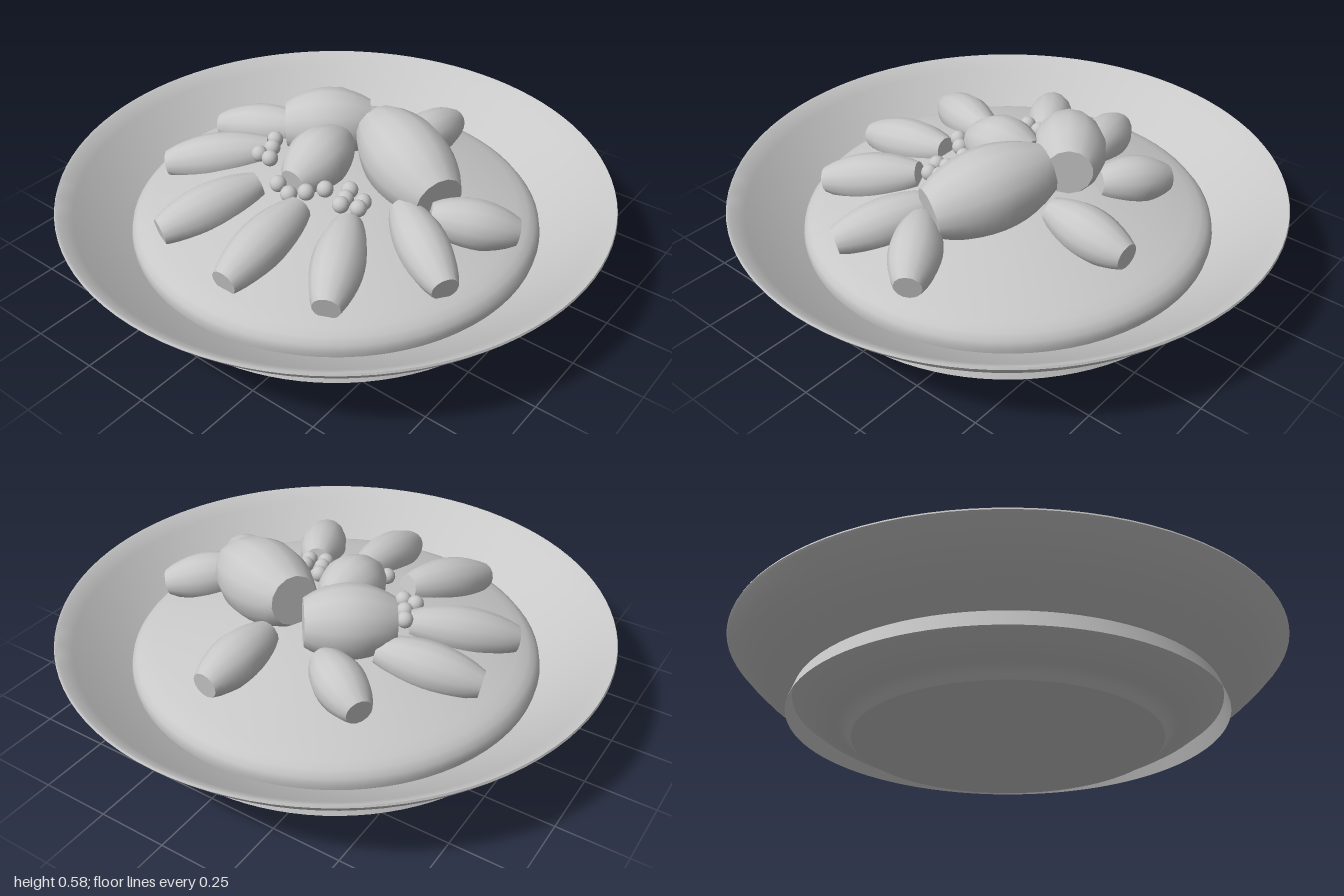
import * as THREE from 'three';
import { toCreasedNormals } from 'three/addons/utils/BufferGeometryUtils.js';

export function createModel() {
  const group = new THREE.Group();
  const grey = new THREE.MeshStandardMaterial({ color: 0xc8c8c8, side: THREE.DoubleSide });
  grey.name = 'light grey';

  function add(name, geometry) {
    const mesh = new THREE.Mesh(geometry, grey);
    mesh.name = name;
    group.add(mesh);
    return mesh;
  }

  // Surface of revolution from [radius, height] pairs, with sharp edges kept
  function lathe(profile, segments, crease = 0.6) {
    const points = profile.map(([r, y]) => new THREE.Vector2(r, y));
    return toCreasedNormals(new THREE.LatheGeometry(points, segments), crease);
  }

  // Flared dish: outside wall, rounded lip, inside wall
  add('dish', lathe([
    [0.755, 0.125], [0.83, 0.165], [0.9, 0.212], [0.95, 0.26], [0.993, 0.308], [1, 0.318],
    [0.997, 0.325], [0.988, 0.323], [0.94, 0.285], [0.87, 0.232], [0.79, 0.175], [0.735, 0.14],
  ], 96));

  // Underside, open skirt ring
  add('base', lathe([
    [0, 0], [0.55, 0], [0.562, 0.012], [0.578, 0.03], [0.6, 0.038],
    [0.65, 0.052], [0.7, 0.08], [0.76, 0.125],
  ], 96));
  add('skirtRing', lathe([[0.78, 0.07], [0.76, 0.127]], 96));

  // Domed filling with a rounded edge
  add('filling', lathe([
    [0.74, 0.13], [0.747, 0.165], [0.742, 0.19], [0.725, 0.212], [0.7, 0.228], [0.66, 0.243],
    [0.56, 0.275], [0.42, 0.313], [0.28, 0.342], [0.14, 0.358], [0, 0.363],
  ], 72));

  // Barrel-shaped piece with cut ends, running between two points
  function barrel(name, from, to, middle, end, sides = 14) {
    const a = new THREE.Vector3(...from), b = new THREE.Vector3(...to);
    const length = a.distanceTo(b);
    const profile = [[0, 0]];
    for (let i = 0; i <= 10; i++) {
      const t = i / 10;
      profile.push([end + (middle - end) * Math.pow(Math.sin(Math.PI * t), 0.85), t * length]);
    }
    profile.push([0, length]);
    const mesh = add(name, lathe(profile, sides, 0.9));
    mesh.position.copy(a);
    mesh.quaternion.setFromUnitVectors(new THREE.Vector3(0, 1, 0), b.sub(a).normalize());
  }

  // Ring of small pieces: inner x, z, outer x, z, outer height
  [
    [0.045, 0.26, 0.05, 0.65, 0.28],
    [-0.16, 0.24, -0.31, 0.585, 0.28],
    [0.23, 0.22, 0.39, 0.545, 0.28],
    [-0.28, 0.04, -0.6, 0.26, 0.28],
    [0.32, 0.04, 0.63, 0.235, 0.28],
    [0.42, 0.02, 0.67, -0.15, 0.3],
    [-0.27, -0.16, -0.62, -0.06, 0.29],
    [-0.14, -0.3, -0.375, -0.44, 0.32],
    [0.1, -0.28, 0.12, -0.605, 0.325],
  ].forEach(([x0, z0, x1, z1, y1]) =>
    barrel('outerPiece', [x0, 0.355, z0], [x1, y1, z1], 0.09, 0.048));

  // Heaped large pieces in the middle
  barrel('largeRightPiece', [0.04, 0.465, -0.2], [0.43, 0.4, -0.02], 0.152, 0.09);
  barrel('largeLeftPiece', [-0.28, 0.42, -0.06], [-0.03, 0.43, -0.25], 0.135, 0.085);
  barrel('centrePiece', [-0.035, 0.44, -0.09], [-0.035, 0.395, 0.2], 0.113, 0.05);

  // Small beads scattered between the pieces
  const bead = new THREE.SphereGeometry(0.03, 16, 12);
  [
    [-0.28, 0.01], [-0.25, 0.06], [-0.26, 0.12], [-0.21, 0.12],
    [-0.08, 0.225], [-0.01, 0.25], [0.03, 0.205], [0.07, 0.15],
    [0.14, 0.1], [0.16, 0.15], [0.22, 0.13], [0.17, 0.19], [0.23, 0.17],
  ].forEach(([x, z]) => {
    add('bead', bead).position.set(x, 0.385, z);
  });

  return group;
}
